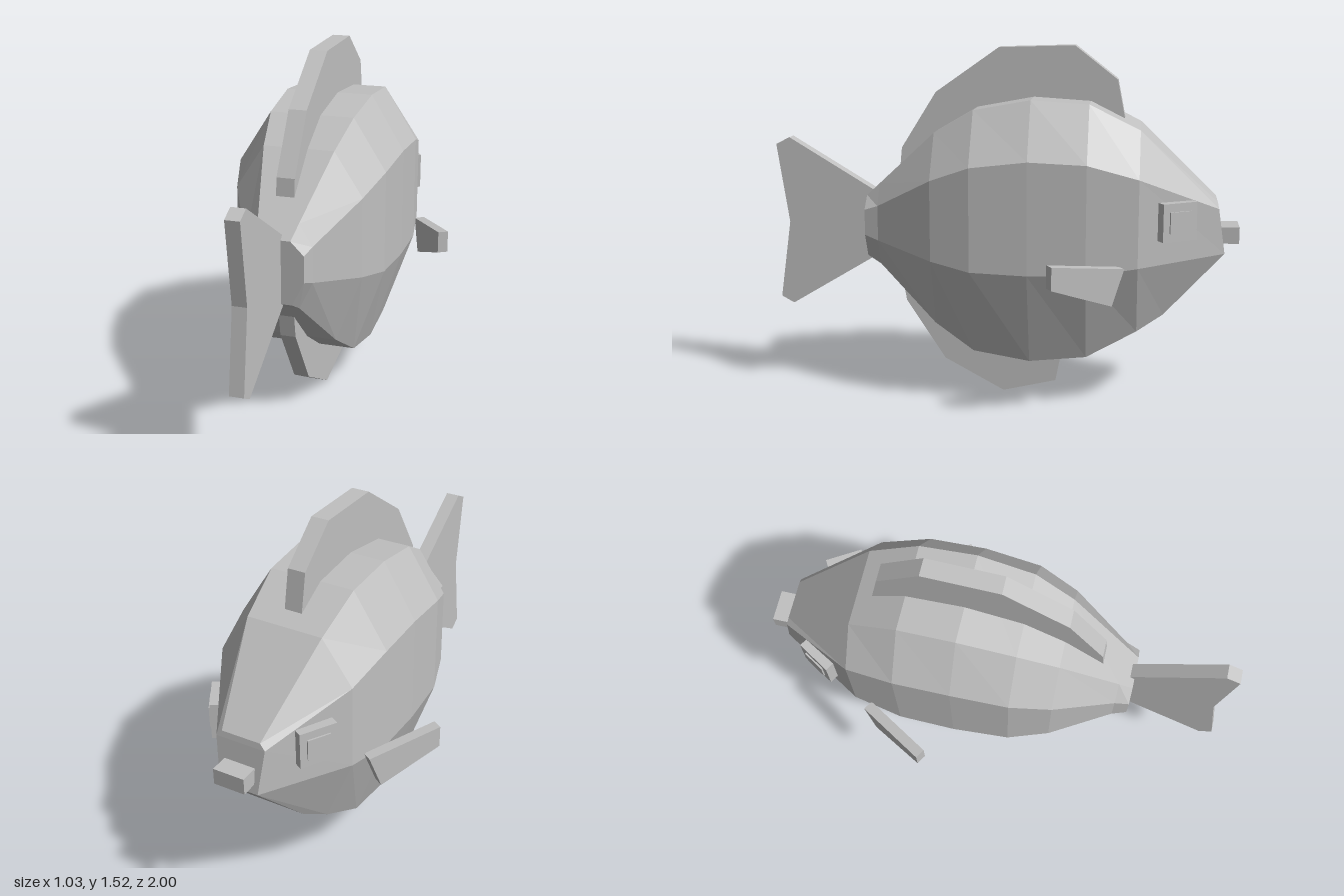
import * as THREE from 'three';

export function createModel() {
  const fish = new THREE.Group();
  fish.name = 'fish';
  const grey = new THREE.MeshStandardMaterial({ color: 0xc0c0c0, flatShading: true });
  grey.name = 'pale grey';

  function add(name, geometry, parent = fish) {
    const mesh = new THREE.Mesh(geometry, grey);
    mesh.name = name;
    parent.add(mesh);
    return mesh;
  }

  // Flat slab: outline in (length, y), thickness centred on its plane
  function slab(points, thickness) {
    const shape = new THREE.Shape(points.map(([a, b]) => new THREE.Vector2(a, b)));
    return new THREE.ExtrudeGeometry(shape, { depth: thickness, bevelEnabled: false })
      .translate(0, 0, -thickness / 2);
  }

  // Body: half section corners [x, y, z] from top to bottom, mirrored into octagons
  const section = (z, top, upper, lower, bottom, wTop, wMid, wBottom) =>
    [[wTop, top, z], [wMid, upper, z], [wMid, lower, z], [wBottom, bottom, z]];
  const halves = [
    section(0.59, 0.875, 0.82, 0.71, 0.61, 0.07, 0.125, 0.075),
    section(0.53, 0.93, 0.84, 0.69, 0.575, 0.085, 0.14, 0.085),
    section(0.28, 1.16, 0.975, 0.635, 0.34, 0.15, 0.27, 0.16),
    section(0.11, 1.26, 1.04, 0.605, 0.23, 0.18, 0.32, 0.19),
    section(-0.13, 1.305, 1.07, 0.6, 0.195, 0.19, 0.333, 0.2),
    section(-0.37, 1.29, 1.06, 0.605, 0.22, 0.185, 0.33, 0.195),
    section(-0.58, 1.185, 1.0, 0.635, 0.335, 0.165, 0.295, 0.175),
    [[0.085, 0.88, -0.905], [0.108, 0.855, -0.91], [0.085, 0.66, -0.94], [0.13, 0.4, -0.69]],
  ];
  const rings = halves.map((h) => [...h, ...[...h].reverse().map(([x, y, z]) => [-x, y, z])]);
  const positions = [];
  const quad = (a, b, c, d) => positions.push(...a, ...b, ...c, ...a, ...c, ...d);
  for (let i = 0; i < rings.length - 1; i++) {
    for (let j = 0; j < 8; j++) {
      const k = (j + 1) % 8;
      quad(rings[i][j], rings[i][k], rings[i + 1][k], rings[i + 1][j]);
    }
  }
  // End caps: tail root, then face and chin
  const tailRing = rings[0], faceRing = rings[rings.length - 1];
  for (let k = 0; k < 3; k++) {
    quad(tailRing[k], tailRing[7 - k], tailRing[6 - k], tailRing[k + 1]);
    quad(faceRing[7 - k], faceRing[k], faceRing[k + 1], faceRing[6 - k]);
  }
  const body = new THREE.BufferGeometry();
  body.setAttribute('position', new THREE.Float32BufferAttribute(positions, 3));
  body.computeVertexNormals();
  add('body', body);

  // Upright fins on the centre plane, outlines as (z, y)
  const uprightFins = {
    dorsalFin: [0.076, [[0.45, 0.98], [0.44, 1.08], [0.29, 1.32], [0.02, 1.51],
      [-0.3, 1.52], [-0.48, 1.38], [-0.52, 1.18], [-0.1, 1.1]]],
    bellyFin: [0.066, [[0.45, 0.52], [0.43, 0.4], [0.26, 0.14], [0, 0],
      [-0.23, 0.055], [-0.265, 0.24], [0, 0.4]]],
    tailFin: [0.06, [[0.57, 0.892], [0.94, 1.115], [1, 1.085], [0.95, 0.74],
      [1, 0.4], [0.945, 0.37], [0.57, 0.595]]],
  };
  for (const [name, [thickness, outline]] of Object.entries(uprightFins)) {
    add(name, slab(outline, thickness).rotateY(-Math.PI / 2));
  }

  // Lips
  add('mouth', new THREE.BoxGeometry(0.136, 0.07, 0.1)).position.set(0, 0.735, -0.95);

  // Side fins and eyes, mirrored
  for (const s of [1, -1]) {
    const side = s > 0 ? 'left' : 'right';
    const fin = add(side + 'SideFin',
      slab([[-0.01, 0.645], [0.32, 0.685], [0.32, 0.59], [0.045, 0.495]], 0.045));
    fin.rotation.y = s > 0 ? -1.017 : 1.017 - Math.PI;
    fin.position.set(s * 0.328, 0, -0.507);

    const eye = new THREE.Group();
    eye.name = side + 'Eye';
    eye.position.set(s * 0.222, 0.823, -0.735);
    eye.rotation.y = s * 0.546;
    add('eyePlate', new THREE.BoxGeometry(0.05, 0.158, 0.16), eye);
    add('pupil', new THREE.BoxGeometry(0.02, 0.088, 0.1), eye).position.x = s * 0.022;
    fish.add(eye);
  }
  return fish;
}
